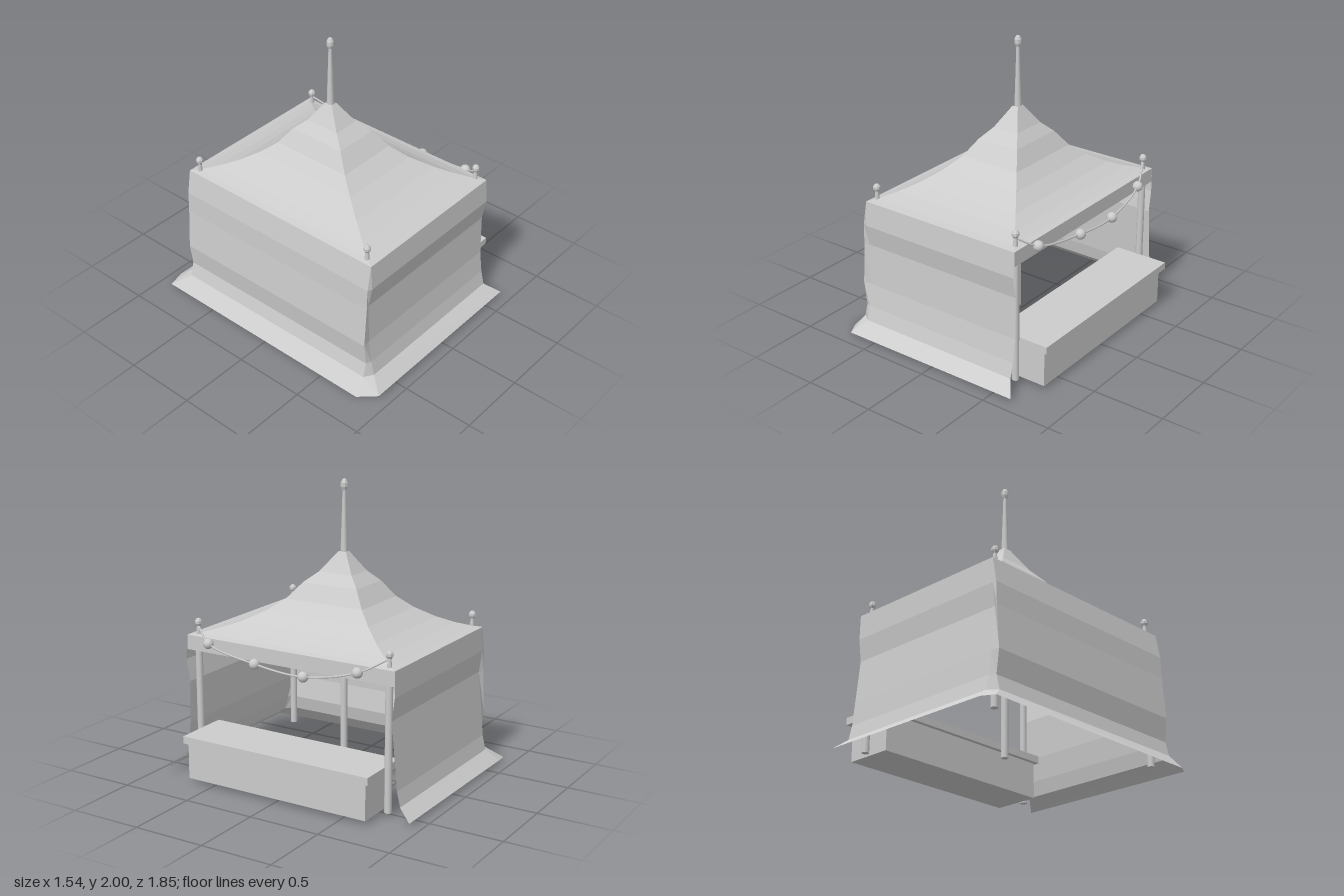
import * as THREE from 'three';

const CX = -0.02, CZ = -0.06; // mast position
const EAVE = 0.97;
const X0 = -0.62, X1 = 0.585, Z0 = -0.79, Z1 = 0.785; // eave rectangle

const smooth = new THREE.MeshStandardMaterial({ color: 0xcccccc });
const cloth = new THREE.MeshStandardMaterial({ color: 0xcccccc, flatShading: true, side: THREE.DoubleSide });

// Surface through rows of points that all have the same length
function loft(rows, closed) {
  const n = rows[0].length, index = [];
  for (let r = 0; r < rows.length - 1; r++) {
    for (let i = 0; i < (closed ? n : n - 1); i++) {
      const a = r * n + i, b = r * n + (i + 1) % n;
      index.push(a, b, a + n, b, b + n, a + n);
    }
  }
  const geo = new THREE.BufferGeometry();
  geo.setAttribute('position', new THREE.Float32BufferAttribute(rows.flat(2), 3));
  geo.setIndex(index);
  geo.computeVertexNormals();
  return geo;
}

export function createModel() {
  const root = new THREE.Group();
  root.name = 'marketTent';
  const add = (name, geo, mat, x = 0, y = 0, z = 0, parent = root) => {
    const mesh = new THREE.Mesh(geo, mat);
    mesh.name = name;
    mesh.position.set(x, y, z);
    parent.add(mesh);
    return mesh;
  };

  // Concave four-sided roof: [share of the eave rectangle, height]
  const roofProfile = [[1, EAVE], [0.93, 0.98], [0.8, 1.01], [0.66, 1.055], [0.5, 1.125],
    [0.37, 1.205], [0.26, 1.315], [0.16, 1.385], [0.09, 1.46], [0.035, 1.52]];
  const corners = [[X1, Z1], [X1, Z0], [X0, Z0], [X0, Z1]];
  add('roof', loft(roofProfile.map(([s, y]) =>
    corners.map(([x, z]) => [CX + (x - CX) * s, y, CZ + (z - CZ) * s])), true), cloth);

  // Billowing cloth on three sides: [y, front z, back z, side x]
  const wallProfile = [[EAVE, 0.785, -0.79, -0.62], [0.8, 0.798, -0.792, -0.65], [0.65, 0.77, -0.772, -0.655],
    [0.36, 0.778, -0.8, -0.675], [0.2, 0.8, -0.815, -0.655], [0.1, 0.825, -0.838, -0.68]];
  const wallRows = wallProfile.map(([y, f, b, s]) => [
    [X1, y, f], [X0, y, f], [s, y, Z1], [s, y, Z0], [X0, y, b], [X1, y, b]]);
  add('clothWalls', loft(wallRows), cloth);

  // Flared hem with cut corners
  const hem = [[0.66, 0.03, 0.923], [-0.69, 0.025, 0.923], [-0.77, 0, 0.8],
    [-0.77, 0.01, -0.91], [-0.66, 0.025, -0.928], [0.63, 0.03, -0.928]];
  add('flaredHem', loft([wallRows[wallRows.length - 1], hem]), cloth);

  // Short strip of cloth above the open side
  add('valance', loft([[[X1, EAVE, Z0], [X1, EAVE, Z1]], [[X1, 0.87, Z0], [X1, 0.87, Z1]]]), cloth);

  // Gem-shaped ornament shared by the mast and the corners
  const gem = new THREE.LatheGeometry([[0, -0.027], [0.015, -0.025], [0.024, -0.01], [0.024, 0.008],
    [0.014, 0.022], [0, 0.027]].map(([r, y]) => new THREE.Vector2(r, y)), 8);
  const gemMat = new THREE.MeshStandardMaterial({ color: 0xcccccc, flatShading: true });

  // Centre pole and tapered mast
  add('centrePole', new THREE.CylinderGeometry(0.024, 0.024, 1.47, 12), smooth, CX, 0.765, CZ);
  add('mast', new THREE.CylinderGeometry(0.011, 0.025, 0.44, 10), smooth, CX, 1.72, CZ);
  add('mastOrnament', gem, gemMat, CX, 1.96, CZ).scale.y = 1.48;

  // Corner poles with ornaments
  const stem = new THREE.CylinderGeometry(0.01, 0.018, 0.08, 8);
  const pole = new THREE.CylinderGeometry(0.024, 0.024, 0.94, 12);
  for (const x of [-0.58, 0.545]) {
    for (const z of [-0.73, 0.72]) {
      const corner = new THREE.Group();
      corner.name = 'cornerPole';
      corner.position.set(x, 0, z);
      root.add(corner);
      add('pole', pole, smooth, 0, 0.5, 0, corner);
      add('stem', stem, smooth, 0, 1.005, 0, corner);
      add('ornament', gem, gemMat, 0, 1.058, 0, corner);
    }
  }

  // Counter on the open side
  add('counterBody', new THREE.BoxGeometry(0.33, 0.25, 1.36), smooth, 0.575, 0.155, 0);
  add('counterTop', new THREE.BoxGeometry(0.39, 0.05, 1.41), smooth, 0.575, 0.305, -0.007);

  // Hanging string of round lanterns
  const points = [[0.545, 1.03, 0.72], [0.62, 0.945, 0.585], [0.662, 0.88, 0.19],
    [0.66, 0.855, -0.178], [0.622, 0.932, -0.548], [0.545, 1.03, -0.73]].map(p => new THREE.Vector3(...p));
  add('lanternCord', new THREE.TubeGeometry(new THREE.CatmullRomCurve3(points), 40, 0.007, 6), smooth);
  const ball = new THREE.SphereGeometry(0.035, 16, 12);
  for (const p of points.slice(1, -1)) add('lantern', ball, smooth, p.x, p.y, p.z);

  return root;
}
